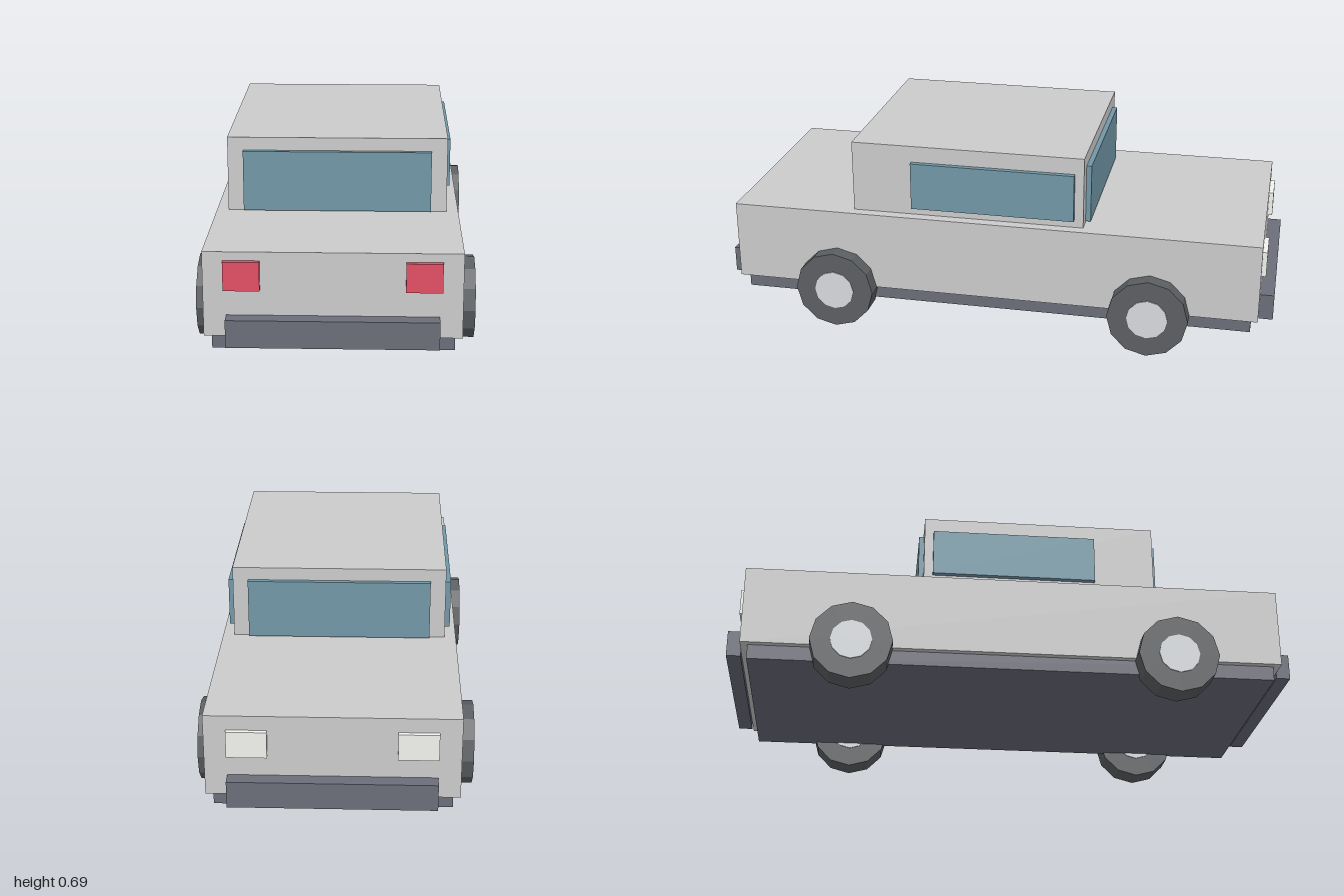
import * as THREE from 'three';

const mat = (color) => new THREE.MeshStandardMaterial({ color, flatShading: true });

export function createModel() {
  const car = new THREE.Group();
  car.name = 'car';

  const paint = mat(0xcccccc);
  const glass = mat(0x7297a7);
  const trim = mat(0x6b6d79);
  const rubber = mat(0x5c5f62);
  const hubMetal = mat(0xd7dade);
  const red = mat(0xe34f64);
  const white = mat(0xf2f3ee);

  // Box given by its lower and upper limits on each axis
  function box(name, material, [x0, x1], [y0, y1], [z0, z1]) {
    const mesh = new THREE.Mesh(new THREE.BoxGeometry(x1 - x0, y1 - y0, z1 - z0), material);
    mesh.position.set((x0 + x1) / 2, (y0 + y1) / 2, (z0 + z1) / 2);
    mesh.name = name;
    car.add(mesh);
  }

  // Cylinder lying along x
  function disc(name, material, radius, width, sides) {
    const geometry = new THREE.CylinderGeometry(radius, radius, width, sides).rotateZ(Math.PI / 2);
    const mesh = new THREE.Mesh(geometry, material);
    mesh.name = name;
    return mesh;
  }

  // Body, cabin and chassis
  box('body', paint, [-0.415, 0.415], [0.143, 0.428], [-0.95, 0.95]);
  box('cabin', paint, [-0.375, 0.375], [0.428, 0.686], [-0.325, 0.511]);
  box('chassis', trim, [-0.392, 0.392], [0.091, 0.143], [-0.925, 0.925]);

  // Bumpers
  box('frontBumper', trim, [-0.341, 0.341], [0.122, 0.215], [0.95, 1]);
  box('rearBumper', trim, [-0.341, 0.341], [0.122, 0.215], [-1, -0.95]);

  // Front and rear windows
  box('frontWindow', glass, [-0.321, 0.321], [0.432, 0.641], [0.5, 0.529]);
  box('rearWindow', glass, [-0.321, 0.321], [0.432, 0.641], [-0.343, -0.315]);

  for (const side of [-1, 1]) {
    const label = side > 0 ? 'left' : 'right';
    const span = (a, b) => (side > 0 ? [a, b] : [-b, -a]);

    // Side windows and lamps
    box(label + 'Window', glass, span(0.365, 0.394), [0.456, 0.627], [-0.293, 0.293]);
    box(label + 'RedLamp', red, span(0.232, 0.349), [0.302, 0.399], [0.94, 0.967]);
    box(label + 'WhiteLamp', white, span(0.21, 0.342), [0.286, 0.378], [-0.966, -0.94]);

    // Wheels
    for (const end of [-1, 1]) {
      const wheel = new THREE.Group();
      wheel.name = label + (end > 0 ? 'Front' : 'Rear') + 'Wheel';
      wheel.add(disc('tire', rubber, 0.143, 0.093, 12));
      wheel.add(disc('hub', hubMetal, 0.072, 0.1, 12));
      wheel.position.set(side * 0.424, 0.143, end * 0.57);
      car.add(wheel);
    }
  }

  return car;
}
